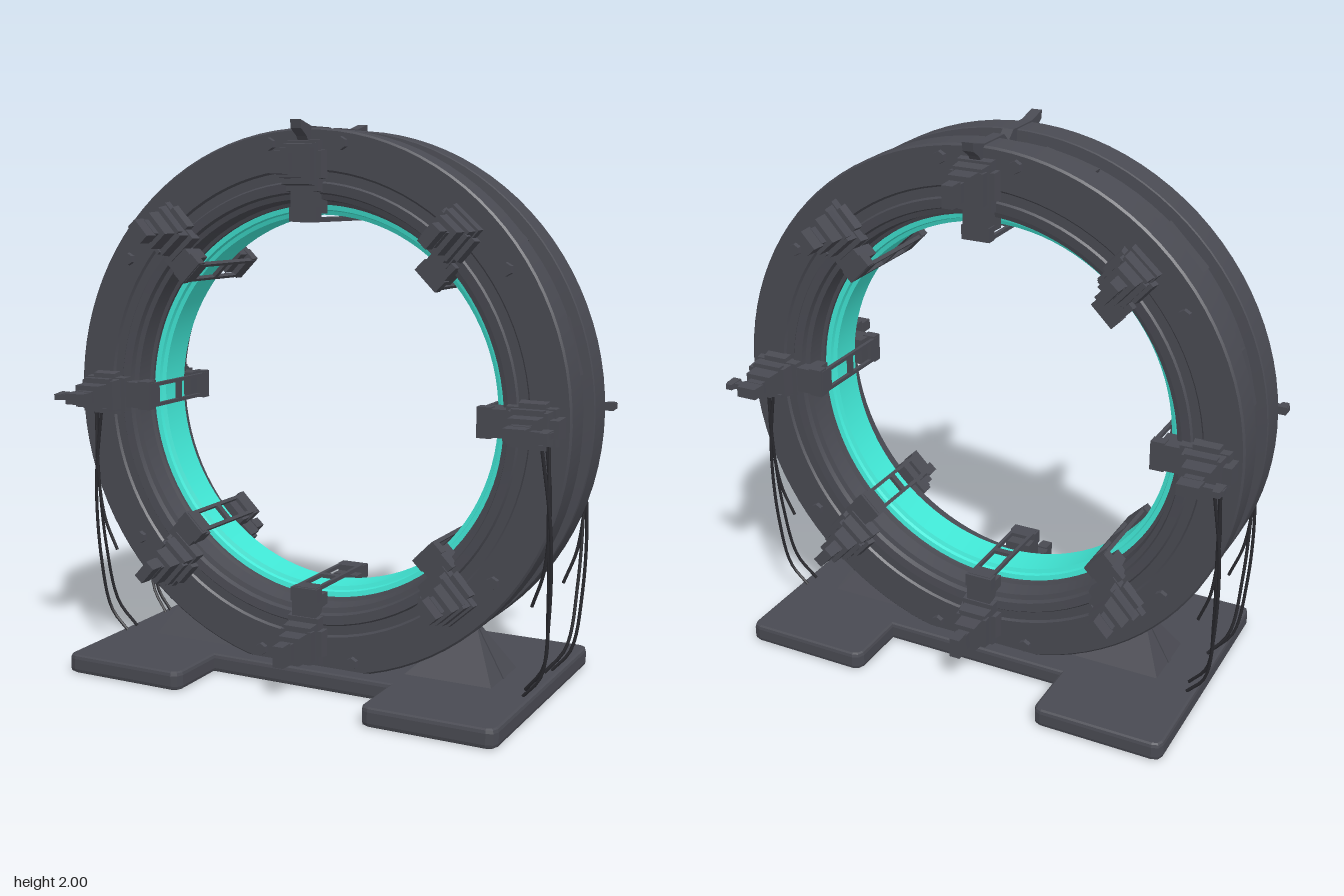
import * as THREE from 'three';
import { toCreasedNormals } from 'three/addons/utils/BufferGeometryUtils.js';

const metal = new THREE.MeshStandardMaterial({ color: 0x494a52 });
metal.name = 'dark metal';
const glow = new THREE.MeshStandardMaterial({ color: 0x42ecda });
glow.name = 'teal lining';
const rubber = new THREE.MeshStandardMaterial({ color: 0x29292e });
rubber.name = 'cable rubber';

const CENTRE = 1.005;

function add(parent, name, geometry, material = metal) {
  const mesh = new THREE.Mesh(geometry, material);
  mesh.name = name;
  parent.add(mesh);
  return mesh;
}

// Box whose +z end is scaled by taper
function block(parent, name, [w, h, d], [x, y, z], taper = 1) {
  const geometry = new THREE.BoxGeometry(w, h, d);
  const p = geometry.attributes.position;
  for (let i = 0; i < p.count; i++) {
    if (p.getZ(i) > 0) p.setXY(i, p.getX(i) * taper, p.getY(i) * taper);
  }
  geometry.computeVertexNormals();
  geometry.translate(x, y, z);
  return add(parent, name, geometry);
}

// Ring turned from a half profile of [radius, depth], mirrored front to back
function turned(half) {
  const loop = [...half, ...half.map(([r, z]) => [r, -z]).reverse(), half[0]];
  const geometry = new THREE.LatheGeometry(loop.map(([r, z]) => new THREE.Vector2(r, z)), 96);
  geometry.rotateX(Math.PI / 2);
  return toCreasedNormals(geometry, 0.45);
}

function polygon(points) {
  return new THREE.Shape(points.map(([x, y]) => new THREE.Vector2(x, y)));
}

// Emitter: x across, y outwards from the ring centre, z away from the face
function createEmitter(isSide) {
  const emitter = new THREE.Group();
  emitter.name = 'emitter';
  block(emitter, 'emitterPlate', [0.13, 0.18, 0.04], [0, 0.84, 0.195], 0.95);
  block(emitter, 'emitterWing', [0.165, 0.10, 0.035], [0, 0.845, 0.2], 0.92);
  block(emitter, 'emitterBody', [0.115, 0.145, 0.055], [0, 0.845, 0.235], 0.93);
  block(emitter, 'emitterNeck', [0.085, 0.105, 0.065], [0, 0.85, 0.29], 0.95);
  block(emitter, 'emitterCollar', [0.045, 0.065, 0.03], [0, 0.85, 0.335]);
  block(emitter, 'emitterTip', [0.042, 0.08, 0.055], [0, 0.85, 0.373], 0.95);
  for (const s of [-1, 1]) {
    block(emitter, 'emitterRib', [0.014, 0.11, 0.03], [s * 0.055, 0.845, 0.255]);
  }
  // Long fin on the side emitters
  if (isSide) {
    block(emitter, 'sideFin', [0.02, 0.11, 0.03], [0, 0.905, 0.35]);
    block(emitter, 'sideFinTip', [0.03, 0.035, 0.055], [0, 0.94, 0.355], 0.7);
    block(emitter, 'sideShoulder', [0.07, 0.06, 0.06], [0, 0.92, 0.215], 0.85);
  }
  return emitter;
}

// Bracket gripping the inner lip, with an open frame reaching over the lining
function createBracket() {
  const bracket = new THREE.Group();
  bracket.name = 'bracket';
  block(bracket, 'bracketBlock', [0.1, 0.085, 0.09], [0, 0.72, 0.165], 0.95);
  block(bracket, 'bracketCap', [0.105, 0.05, 0.04], [0, 0.675, 0.19]);
  const frame = polygon([[-0.045, -0.2], [0.045, -0.2], [0.045, 0], [-0.045, 0]]);
  frame.holes.push(polygon([[-0.032, -0.14], [-0.032, -0.012], [0.032, -0.012], [0.032, -0.14]]));
  const geometry = new THREE.ExtrudeGeometry(frame, { depth: 0.014, bevelEnabled: false });
  geometry.rotateX(-Math.PI / 2);
  geometry.translate(0, 0.648, 0);
  add(bracket, 'bracketFrame', geometry);
  return bracket;
}

function createFace() {
  const face = new THREE.Group();
  face.name = 'faceFittings';
  for (let i = 0; i < 8; i++) {
    const bracket = createBracket();
    bracket.rotation.z = i * Math.PI / 4;
    // Diagonal emitters lean towards the vertical
    const lean = i % 2 ? 0.05 * (i % 4 === 1 ? -1 : 1) : 0;
    const emitter = createEmitter(i === 2 || i === 6);
    emitter.rotation.z = i * Math.PI / 4 + lean;
    if (i % 2) emitter.position.set(-Math.sin(i * Math.PI / 4), Math.cos(i * Math.PI / 4), 0).multiplyScalar(-0.022);
    face.add(bracket, emitter);
  }
  // Hexagonal bolts
  for (const [x, y] of [[0.14, 0.915], [0.74, 0.505], [0.71, -0.545], [0.185, -0.905]]) {
    for (const s of [-1, 1]) {
      const bolt = new THREE.CylinderGeometry(0.022, 0.024, 0.02, 6);
      bolt.rotateX(Math.PI / 2);
      const head = add(face, 'bolt', bolt.toNonIndexed());
      head.geometry.computeVertexNormals();
      head.position.set(s * x, y, 0.192);
    }
  }
  return face;
}

function createRing() {
  const ring = new THREE.Group();
  ring.name = 'ring';
  ring.position.y = CENTRE;
  add(ring, 'ringBody', turned([
    [0.93, 0.06], [0.967, 0.064], [0.97, 0.07], [0.97, 0.178], [0.963, 0.185], [0.83, 0.185],
    [0.823, 0.177], [0.79, 0.177], [0.784, 0.185], [0.752, 0.182], [0.746, 0.165],
    [0.728, 0.16], [0.72, 0.1], [0.708, 0.095], [0.706, 0.05],
  ]));
  // Stepped lining, narrowest at mid depth
  add(ring, 'innerLining', turned([
    [0.712, 0.06], [0.712, 0.085], [0.69, 0.08], [0.686, 0.068], [0.672, 0.062],
  ]), glow);
  // Low panels around the outer groove
  for (let i = 0; i < 12; i++) {
    const holder = new THREE.Group();
    holder.name = 'groovePanel';
    holder.rotation.z = (i + 0.5) * Math.PI / 6;
    block(holder, 'panel', [0.2, 0.03, i % 2 ? 0.1 : 0.075], [0, 0.921, 0]);
    ring.add(holder);
  }
  const front = createFace();
  const back = createFace();
  back.rotation.y = Math.PI;
  ring.add(front, back);

  // Notched crest bridging the two rims at the top
  const crest = polygon([
    [-0.26, 0.995], [-0.18, 0.975], [-0.035, 0.975], [0, 0.945], [0.035, 0.975], [0.18, 0.975],
    [0.26, 0.995], [0.255, 0.965], [0.215, 0.94], [0.19, 0.9], [-0.19, 0.9], [-0.215, 0.94], [-0.255, 0.965],
  ].reverse());
  const crestGeometry = new THREE.ExtrudeGeometry(crest, { depth: 0.04, bevelEnabled: false });
  crestGeometry.translate(0, 0, -0.02);
  crestGeometry.rotateY(Math.PI / 2);
  add(ring, 'topCrest', crestGeometry);
  return ring;
}

function createBase() {
  const base = new THREE.Group();
  base.name = 'base';
  // Plan outline with rounded corners
  const quarter = [[0.365, 0.235], [0.365, 0.455], [0.373, 0.473], [0.39, 0.48],
    [0.805, 0.48], [0.823, 0.473], [0.83, 0.455]];
  const flip = (pts, sx, sz) => pts.map(([x, z]) => [x * sx, z * sz]);
  const outline = polygon([
    ...flip(quarter, 1, 1), ...flip(quarter, 1, -1).reverse(),
    ...flip(quarter, -1, -1), ...flip(quarter, -1, 1).reverse(),
  ].reverse());
  const slab = new THREE.ExtrudeGeometry(outline, {
    depth: 0.038, bevelThickness: 0.015, bevelSize: 0.01, bevelSegments: 2,
  });
  slab.rotateX(-Math.PI / 2);
  slab.translate(0, 0.015, 0);
  add(base, 'baseSlab', slab);

  // Leaning pyramid feet with a thin rib, one on each side of the ring
  for (const s of [-1, 1]) {
    const foot = block(base, 'supportFoot', [0.34, 0.26, 0.18], [0, 0, 0.09], 0.15);
    foot.geometry.applyMatrix4(new THREE.Matrix4().makeShear(0, 0, 0, 0, s * 0.25, 0));
    foot.rotation.x = -Math.PI / 2;
    foot.position.set(s * 0.52, 0.06, 0);
    const rib = new THREE.ExtrudeGeometry(
      polygon([[0.4, 0.06], [0.695, 0.06], [0.59, 0.25], [0.5, 0.25]]),
      { depth: 0.024, bevelEnabled: false });
    rib.translate(0, 0, -0.012);
    if (s < 0) rib.rotateY(Math.PI);
    add(base, 'supportRib', rib);
  }
  return base;
}

function createCables() {
  const cables = new THREE.Group();
  cables.name = 'cables';
  const paths = [
    [[0.9, 0.99, 0.2], [0.9, 0.7, 0.192], [0.895, 0.4, 0.16], [0.87, 0.17, 0.12], [0.8, 0.075, 0.1]],
    [[0.87, 0.97, 0.2], [0.91, 0.65, 0.194], [0.905, 0.35, 0.18], [0.875, 0.15, 0.16], [0.81, 0.07, 0.15]],
    [[0.89, 0.97, 0.2], [0.905, 0.75, 0.192], [0.885, 0.52, 0.18], [0.84, 0.39, 0.165]],
  ];
  for (const points of paths) {
    for (const sx of [-1, 1]) {
      for (const sz of [-1, 1]) {
        const curve = new THREE.CatmullRomCurve3(
          points.map(([x, y, z]) => new THREE.Vector3(x * sx, y, z * sz)));
        add(cables, 'cable', new THREE.TubeGeometry(curve, 28, 0.006, 6), rubber);
      }
    }
  }
  return cables;
}

export function createModel() {
  const model = new THREE.Group();
  model.name = 'ringGate';
  model.add(createRing(), createBase(), createCables());
  return model;
}
